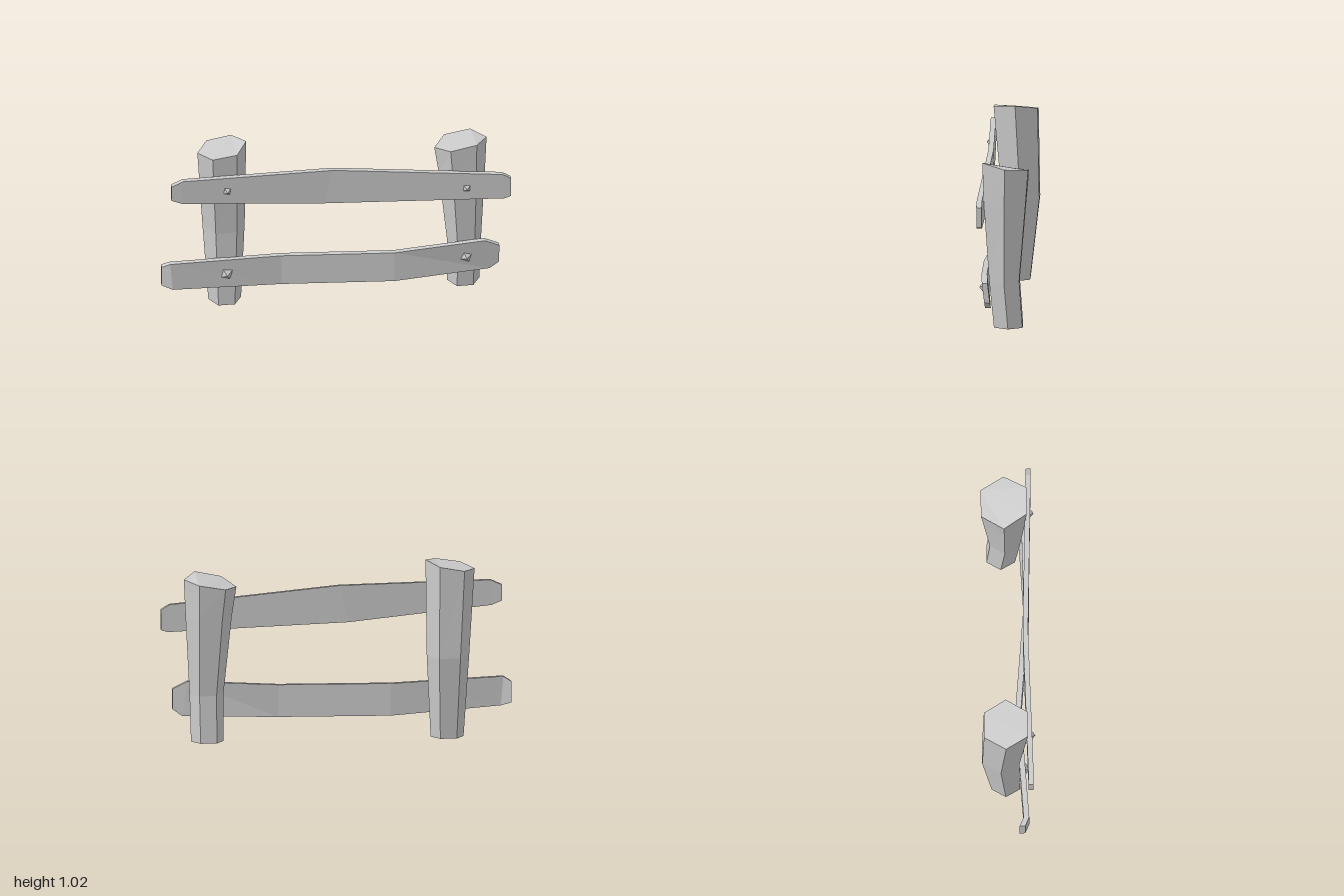
import * as THREE from 'three';

const material = new THREE.MeshStandardMaterial({ color: 0xcccccc, flatShading: true });

// Skins a list of rings (each counter-clockwise seen from the far end) and caps both ends.
function loft(rings) {
  const pos = [];
  const tri = (a, b, c) => pos.push(...a, ...b, ...c);
  const n = rings[0].length;
  for (let s = 0; s < rings.length - 1; s++) {
    const a = rings[s], b = rings[s + 1];
    for (let i = 0; i < n; i++) {
      const j = (i + 1) % n;
      tri(a[i], a[j], b[j]);
      tri(a[i], b[j], b[i]);
    }
  }
  const first = rings[0], last = rings[rings.length - 1];
  for (let k = 1; k < n - 1; k++) {
    const i = (1 + k) % n, j = (2 + k) % n;
    tri(last[1], last[i], last[j]);
    tri(first[1], first[j], first[i]);
  }
  const geometry = new THREE.BufferGeometry();
  geometry.setAttribute('position', new THREE.Float32BufferAttribute(pos, 3));
  geometry.computeVertexNormals();
  return geometry;
}

// Six-sided post; level = [y or six corner heights, centre x, centre z, radius, half depth]
function postGeometry(levels) {
  return loft(levels.map(([y, cx, cz, r, h]) =>
    Array.from({ length: 6 }, (_, i) => {
      const a = (i * Math.PI) / 3;
      return [
        cx + r * Math.cos(a),
        Array.isArray(y) ? y[i] : y,
        cz - (h * Math.sin(a)) / Math.sin(Math.PI / 3),
      ];
    })));
}

// Bent plank; station = [top x, top y, bottom x, bottom y, back z at top, back z at bottom]
function railGeometry(stations, thickness) {
  return loft(stations.map(([xt, yt, xb, yb, zt, zb]) => [
    [xb, yb, zb],
    [xt, yt, zt],
    [xt, yt, zt + thickness],
    [xb, yb, zb + thickness],
  ]));
}

export function createModel() {
  const group = new THREE.Group();
  const add = (name, geometry) => {
    const mesh = new THREE.Mesh(geometry, material);
    mesh.name = name;
    group.add(mesh);
    return mesh;
  };

  // Posts with unevenly cut tops
  add('rightPost', postGeometry([
    [0, -0.623, -0.016, 0.094, 0.081],
    [0.47, -0.625, -0.044, 0.121, 0.106],
    [[1.02, 0.995, 0.97, 0.965, 0.985, 1.005], -0.64, -0.015, 0.14, 0.125],
  ]));
  add('leftPost', postGeometry([
    [0, 0.748, -0.035, 0.093, 0.081],
    [0.27, 0.75, -0.012, 0.097, 0.085],
    [0.715, 0.738, -0.015, 0.132, 0.118],
    [[0.93, 0.915, 0.89, 0.885, 0.925, 0.955], 0.73, -0.018, 0.15, 0.13],
  ]));

  // Warped rails with clipped ends
  add('upperRail', railGeometry([
    [-0.95, 0.845, -0.95, 0.755, 0.11, 0.11],
    [-0.885, 0.875, -0.89, 0.73, 0.11, 0.11],
    [-0.02, 0.862, -0.07, 0.65, 0.085, 0.085],
    [0.95, 0.765, 0.96, 0.608, 0.107, 0.107],
    [0.998, 0.735, 0.996, 0.62, 0.107, 0.107],
  ], 0.03));
  add('lowerRail', railGeometry([
    [-1, 0.295, -1, 0.175, 0.06, 0.06],
    [-0.955, 0.322, -0.94, 0.155, 0.083, 0.083],
    [-0.31, 0.3, -0.31, 0.115, 0.04, 0.04],
    [0.33, 0.295, 0.33, 0.11, 0.092, 0.092],
    [0.85, 0.325, 0.88, 0.13, 0.082, 0.06],
    [0.935, 0.285, 0.935, 0.17, 0.077, 0.063],
  ], 0.032));

  // Pyramid nail heads: [x, y, tip z, roll]
  const nails = [
    [-0.63, 0.785, 0.152, 0.15],
    [0.745, 0.69, 0.152, 0.08],
    [-0.628, 0.22, 0.122, 0.25],
    [0.745, 0.225, 0.132, 0.35],
  ];
  const nailGeometry = new THREE.ConeGeometry(0.045, 0.035, 4);
  nailGeometry.rotateY(Math.PI / 4).rotateX(Math.PI / 2);
  nails.forEach(([x, y, tip, roll], i) => {
    const nail = add(`nail${i + 1}`, nailGeometry);
    nail.position.set(x, y, tip - 0.0175);
    nail.rotation.z = -roll;
  });

  return group;
}
